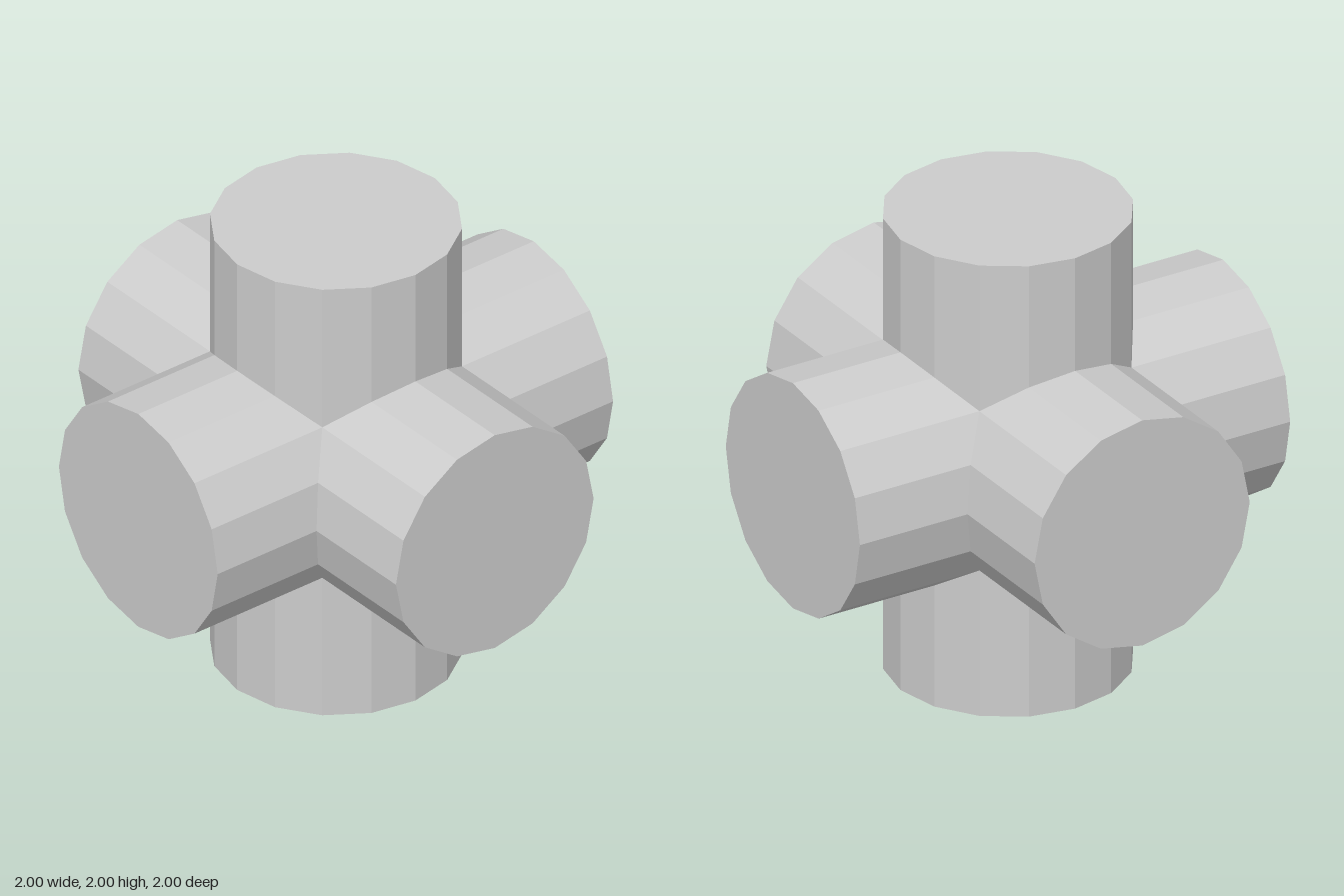
import * as THREE from 'three';

const RADIUS = 0.5, REACH = 1, SIDES = 16;

// One capped arm along +y, its inner end mitred to meet the neighbouring arms
function armGeometry() {
  const profile = [[RADIUS, 0], [RADIUS, REACH], [0, REACH]].map(([r, y]) => new THREE.Vector2(r, y));
  const geometry = new THREE.LatheGeometry(profile, SIDES);
  const pos = geometry.attributes.position;
  for (let i = 0; i < pos.count; i++) {
    if (pos.getY(i) < REACH / 2) pos.setY(i, Math.max(Math.abs(pos.getX(i)), Math.abs(pos.getZ(i))));
  }
  geometry.computeVertexNormals();
  return geometry;
}

export function createModel() {
  const group = new THREE.Group();
  group.name = 'sixWayPipeCross';
  const material = new THREE.MeshStandardMaterial({ color: 0xcccccc, flatShading: true });
  const geometry = armGeometry();
  const quarter = Math.PI / 2;

  // Six arms meeting at the centre: name, rotation about x, rotation about z
  const arms = [
    ['topArm', 0, 0],
    ['bottomArm', Math.PI, 0],
    ['frontArm', quarter, 0],
    ['backArm', -quarter, 0],
    ['leftArm', 0, -quarter],
    ['rightArm', 0, quarter],
  ];
  for (const [name, rx, rz] of arms) {
    const arm = new THREE.Mesh(geometry, material);
    arm.name = name;
    arm.rotation.set(rx, 0, rz);
    arm.position.y = REACH;
    group.add(arm);
  }
  return group;
}
